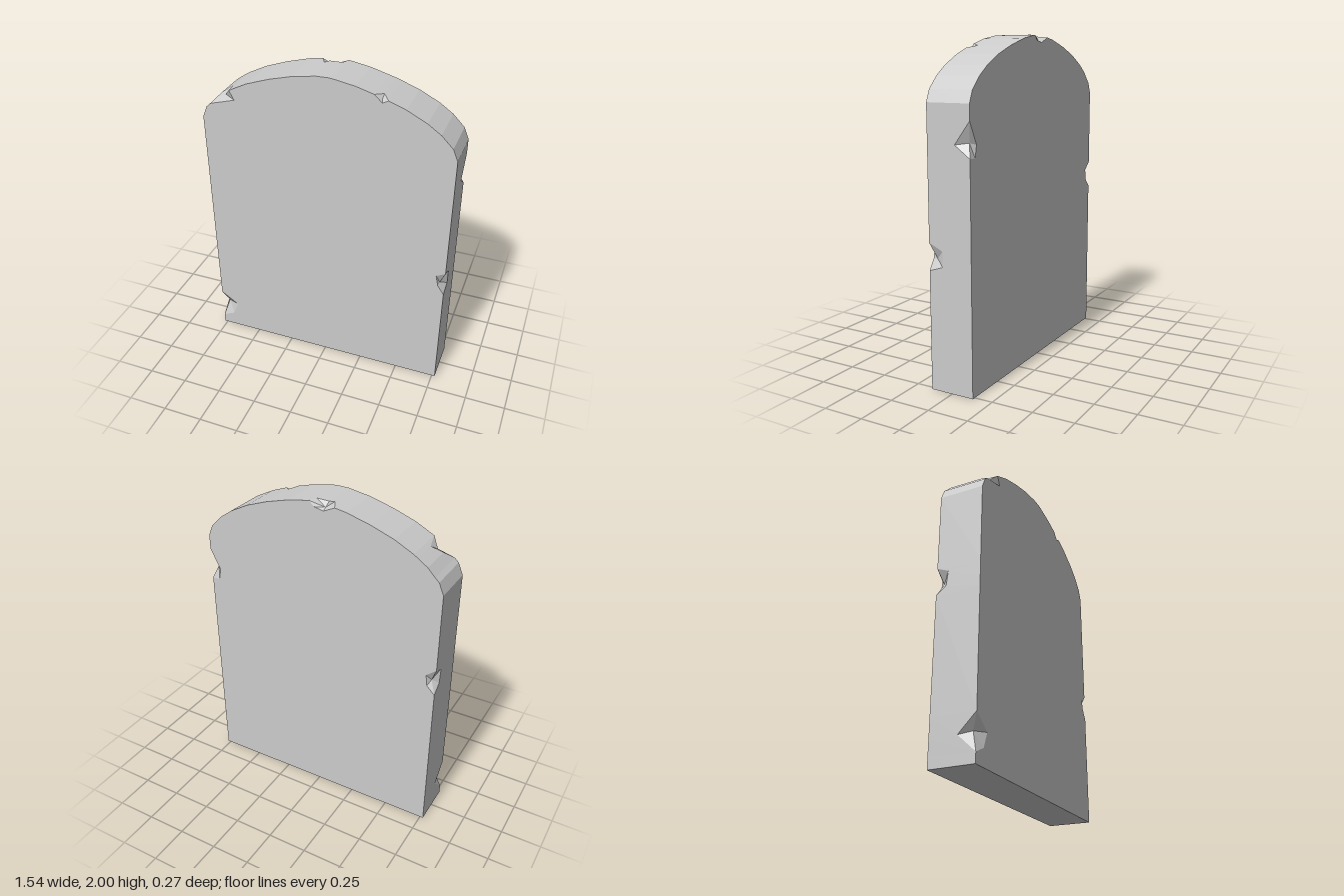
import * as THREE from 'three';

const D = 0.137; // half thickness of the slab

export function createModel() {
  const group = new THREE.Group();
  group.name = 'headstone';
  const material = new THREE.MeshStandardMaterial({ color: 0xcccccc, flatShading: true });

  const outline = []; // each: x, y, front z limit, back z limit
  const faces = { 1: [], '-1': [] }; // front and back contours
  const slab = []; // triangle corners of the main body

  const addMesh = (name, points) => {
    const geometry = new THREE.BufferGeometry().setFromPoints(points.map((p) => new THREE.Vector3(...p)));
    geometry.computeVertexNormals();
    const mesh = new THREE.Mesh(geometry, material);
    mesh.name = name;
    group.add(mesh);
  };

  // Unbroken stretch of the outline, counter-clockwise seen from the front
  const run = (...points) => {
    for (const [x, y] of points) {
      outline.push([x, y, D, -D]);
      faces[1].push([x, y]);
      faces[-1].push([x, y]);
    }
  };

  // Chip in the front (side 1) or back (side -1) edge: rim points along the
  // side wall [x, y, z], rim points on the face [x, y], and the deepest point
  const chip = (name, side, wall, face, deep) => {
    wall.forEach(([x, y, z], k) => {
      outline.push(side > 0 ? [x, y, z, -D] : [x, y, D, z]);
      faces[-side].push([x, y]);
      if (k === 0) faces[side].push([x, y], ...face);
      if (k === wall.length - 1) faces[side].push([x, y]);
    });
    const rim = [...wall, ...face.map(([x, y]) => [x, y, side * D]).reverse()];
    const tris = rim.flatMap((a, k) => {
      const b = rim[(k + 1) % rim.length];
      return side > 0 ? [deep, a, b] : [deep, b, a];
    });
    addMesh(name, tris);
  };

  // Left edge, going up
  run([0.77, 0]);
  chip('leftFrontChip', 1,
    [[0.77, 0.7, D], [0.77, 0.73, 0.05], [0.77, 0.82, 0.05], [0.77, 0.86, D]],
    [[0.73, 0.76], [0.715, 0.83]], [0.735, 0.765, 0.105]);
  chip('leftBackChip', -1,
    [[0.77, 1.34, -D], [0.77, 1.41, -0.04], [0.77, 1.54, -D]],
    [[0.72, 1.34], [0.705, 1.41]], [0.735, 1.42, -0.112]);

  // Arched top, left to right
  run([0.77, 1.63], [0.74, 1.7], [0.67, 1.77], [0.59, 1.825], [0.47, 1.885]);
  chip('topFrontChip', 1,
    [[0.37, 1.921, D], [0.33, 1.935, 0.085], [0.29, 1.946, D]],
    [[0.335, 1.903]], [0.33, 1.917, 0.115]);
  run([0.18, 1.976]);
  chip('topBackChip', -1,
    [[0.05, 1.998, -D], [0.03, 2, -0.09], [-0.05, 1.998, -0.09], [-0.075, 1.993, -0.07], [-0.11, 1.987, -D]],
    [[-0.04, 1.955], [0.02, 1.968]].reverse(), [-0.04, 1.968, -0.112]);
  run([-0.18, 1.976], [-0.33, 1.935], [-0.47, 1.885]);
  chip('rightShoulderChip', 1,
    [[-0.585, 1.827, D], [-0.61, 1.811, 0.03], [-0.67, 1.77, 0.075], [-0.715, 1.723, D]],
    [[-0.555, 1.77]], [-0.63, 1.775, 0.09]);
  run([-0.74, 1.7], [-0.77, 1.63]);

  // Right edge, going down
  chip('rightBackChip', -1,
    [[-0.77, 1.15, -D], [-0.77, 1.12, -0.065], [-0.77, 1.03, -0.075], [-0.77, 0.98, -D]],
    [[-0.71, 1.1], [-0.72, 1.03]], [-0.735, 1.06, -0.108]);
  chip('rightFrontChip', 1,
    [[-0.77, 0.27, D], [-0.77, 0.16, 0.03], [-0.77, 0.06, D]],
    [[-0.655, 0.19], [-0.69, 0.1]], [-0.735, 0.18, 0.1]);
  run([-0.77, 0]);

  // Side wall between the front and back limits, including the underside
  outline.forEach(([px, py, pf, pb], k) => {
    const [qx, qy, qf, qb] = outline[(k + 1) % outline.length];
    const a = [px, py, pb], b = [qx, qy, qb], c = [qx, qy, qf], d = [px, py, pf];
    slab.push(a, b, c, a, c, d);
  });

  // Front and back faces
  for (const side of [1, -1]) {
    const contour = faces[side].map(([x, y]) => new THREE.Vector2(x, y));
    for (const tri of THREE.ShapeUtils.triangulateShape(contour, [])) {
      const corners = tri.map((i) => contour[i]);
      const [a, b, c] = corners;
      const ccw = (b.x - a.x) * (c.y - a.y) - (b.y - a.y) * (c.x - a.x) > 0;
      if (ccw !== side > 0) corners.reverse();
      slab.push(...corners.map((p) => [p.x, p.y, side * D]));
    }
  }
  addMesh('slab', slab);
  return group;
}
